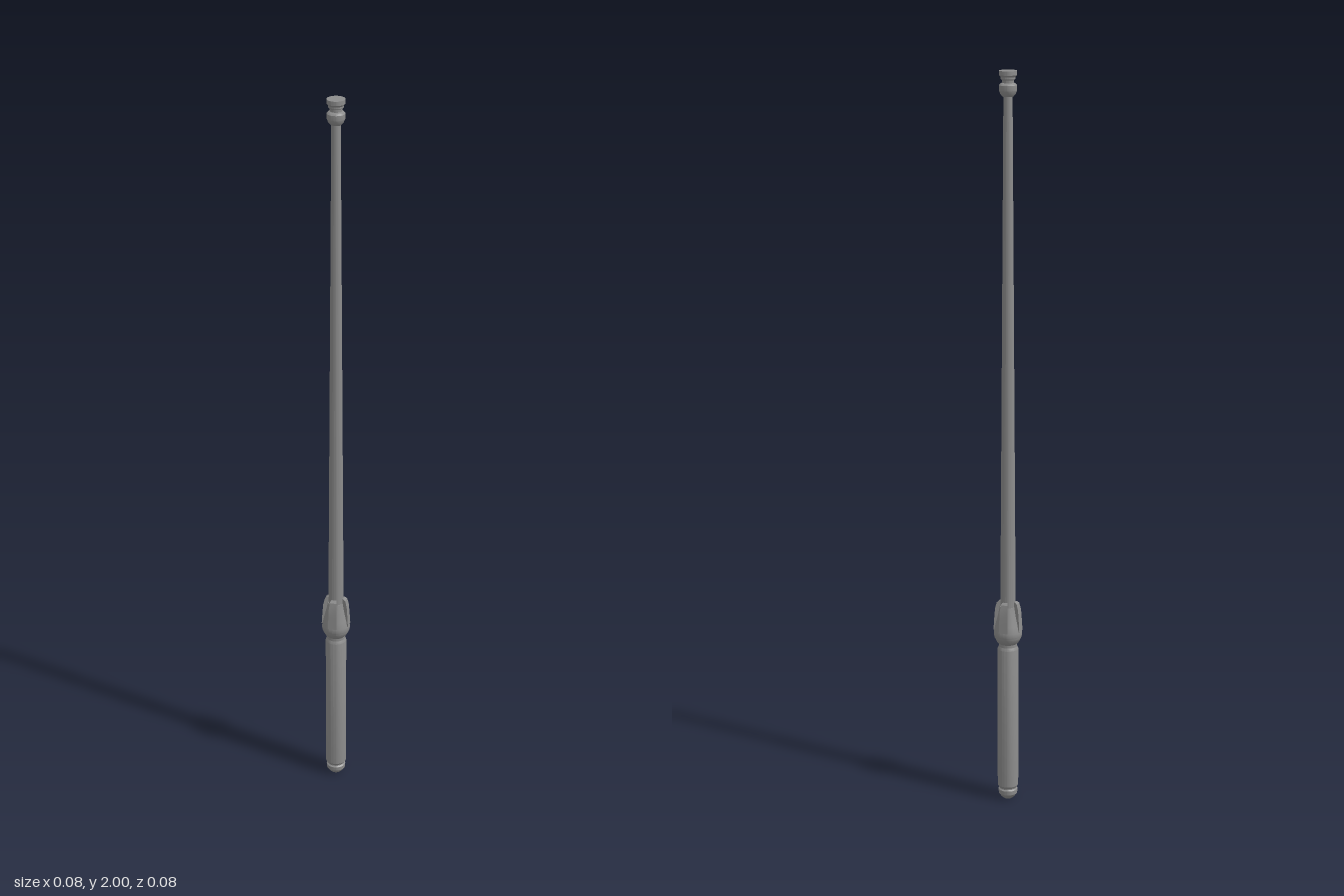
import * as THREE from 'three';
import { toCreasedNormals } from 'three/addons/utils/BufferGeometryUtils.js';

const material = new THREE.MeshStandardMaterial({ color: 0x8c8c8c });

// Turned part from [radius, height] pairs, bottom to top
function turned(name, profile, sides = 24) {
  const points = profile.map(([r, y]) => new THREE.Vector2(r, y));
  const geometry = toCreasedNormals(new THREE.LatheGeometry(points, sides), 0.45);
  const mesh = new THREE.Mesh(geometry, material);
  mesh.name = name;
  return mesh;
}

// Collar claw: side profile extruded, then widened with distance from the axis
function clawGeometry() {
  const shape = new THREE.Shape([
    [0.016, 0.49], [0.0375, 0.492], [0.0355, 0.525], [0.0335, 0.552],
    [0.029, 0.57], [0.023, 0.575], [0.016, 0.575],
  ].map(([r, y]) => new THREE.Vector2(r, y)));
  const geometry = new THREE.ExtrudeGeometry(shape, { depth: 0.025, bevelEnabled: false });
  geometry.translate(0, 0, -0.0125);
  const p = geometry.attributes.position;
  for (let i = 0; i < p.count; i++) p.setZ(i, p.getZ(i) * p.getX(i) / 0.0375);
  return toCreasedNormals(geometry, 0.4);
}

export function createModel() {
  const model = new THREE.Group();
  model.name = 'baton';

  // Chamfered pommel below the grip
  model.add(turned('pommel', [
    [0, 0], [0.012, 0], [0.018, 0.005], [0.0255, 0.015],
    [0.0265, 0.027], [0.023, 0.03], [0.023, 0.036], [0, 0.036],
  ]));

  // Grip with chamfered ends
  model.add(turned('grip', [
    [0, 0.034], [0.025, 0.034], [0.0285, 0.04], [0.0285, 0.438],
    [0.025, 0.446], [0, 0.446],
  ]));

  // Flared collar above the grip
  model.add(turned('collar', [
    [0, 0.444], [0.025, 0.444], [0.025, 0.454], [0.03, 0.459], [0.0365, 0.472],
    [0.0385, 0.479], [0.0378, 0.49], [0.034, 0.508], [0.026, 0.54],
    [0.0225, 0.56], [0, 0.56],
  ]));

  // Four claws around the collar
  const claws = new THREE.Group();
  claws.name = 'collarClaws';
  const claw = clawGeometry();
  for (let i = 0; i < 4; i++) {
    const mesh = new THREE.Mesh(claw, material);
    mesh.name = 'claw';
    mesh.rotation.y = i * Math.PI / 2;
    claws.add(mesh);
  }
  model.add(claws);

  // Shaft with one even taper
  model.add(turned('shaft', [[0, 0.54], [0.021, 0.54], [0.0118, 1.945], [0, 1.945]]));

  // Tip: ring, neck and flat double cap
  model.add(turned('tip', [
    [0, 1.934], [0.014, 1.934], [0.0195, 1.94], [0.0235, 1.95], [0.0235, 1.963],
    [0.02, 1.967], [0.0155, 1.969], [0.0155, 1.976], [0.0195, 1.979], [0.0195, 1.984],
    [0.0235, 1.989], [0.0235, 2], [0, 2],
  ]));

  return model;
}
